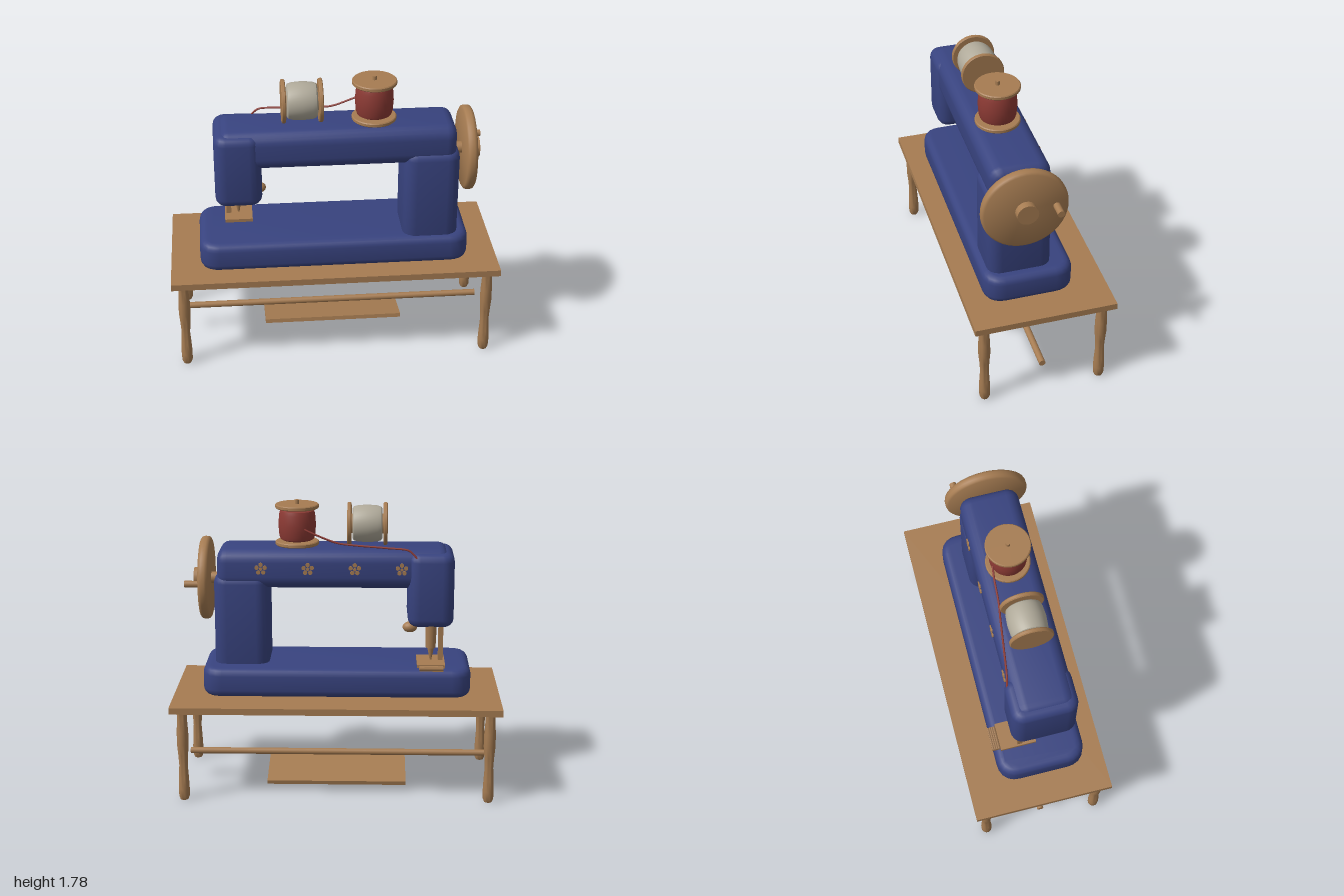
import * as THREE from 'three';
import { toCreasedNormals } from 'three/addons/utils/BufferGeometryUtils.js';

const paint = (name, color) => {
  const m = new THREE.MeshStandardMaterial({ color });
  m.name = name;
  return m;
};

export function createModel() {
  const wood = paint('wood', 0xa67c52);
  const blue = paint('blue enamel', 0x38437f);
  const red = paint('red thread', 0x8c3a34);
  const white = paint('white thread', 0xb0aa9a);
  const model = new THREE.Group();

  const add = (name, geometry, material, x = 0, y = 0, z = 0, parent = model) => {
    const mesh = new THREE.Mesh(geometry, material);
    mesh.name = name;
    mesh.position.set(x, y, z);
    parent.add(mesh);
    return mesh;
  };
  const group = (name, x = 0, y = 0, z = 0) => {
    const g = new THREE.Group();
    g.name = name;
    g.position.set(x, y, z);
    model.add(g);
    return g;
  };
  const box = (w, h, d) => new THREE.BoxGeometry(w, h, d);
  const rod = (r, h, r2 = r, n = 24) => new THREE.CylinderGeometry(r, r2, h, n);
  const lathe = (pts, n = 32) =>
    toCreasedNormals(new THREE.LatheGeometry(pts.map(p => new THREE.Vector2(...p)), n), 0.7);

  // Centred block with rounded outline in XZ and rounded top and bottom edges
  const softBlock = (w, h, d, r, b) => {
    const x = w / 2 - b, z = d / 2 - b, c = Math.max(r - b, 0.005);
    const s = new THREE.Shape();
    s.moveTo(-x + c, -z);
    s.lineTo(x - c, -z);
    s.quadraticCurveTo(x, -z, x, -z + c);
    s.lineTo(x, z - c);
    s.quadraticCurveTo(x, z, x - c, z);
    s.lineTo(-x + c, z);
    s.quadraticCurveTo(-x, z, -x, z - c);
    s.lineTo(-x, -z + c);
    s.quadraticCurveTo(-x, -z, -x + c, -z);
    const g = new THREE.ExtrudeGeometry(s, {
      depth: h - 2 * b, bevelSize: b, bevelThickness: b, bevelSegments: 4, curveSegments: 5,
    });
    g.translate(0, 0, b - h / 2).rotateX(-Math.PI / 2);
    return toCreasedNormals(g, 0.7);
  };

  // Table with turned legs, foot rail and tilted treadle
  add('tableTop', box(2, 0.04, 0.86), wood, 0, 0.59, 0);
  const legShape = lathe([[0, 0], [0.024, 0], [0.032, 0.02], [0.034, 0.07], [0.031, 0.14],
    [0.026, 0.22], [0.03, 0.29], [0.036, 0.36], [0.035, 0.44], [0.03, 0.52], [0.032, 0.575]], 20);
  for (const x of [-0.93, 0.93])
    for (const z of [-0.36, 0.36]) add('tableLeg', legShape, wood, x, 0, z);
  add('footRail', rod(0.02, 1.86), wood, 0, 0.18, 0).rotation.z = Math.PI / 2;
  add('treadle', box(0.86, 0.025, 0.355), wood, 0, 0.087, -0.035).rotation.x = -0.2;

  // Machine body
  add('machineBase', softBlock(1.64, 0.18, 0.54, 0.12, 0.045), blue, 0, 0.70, 0.04);
  add('pillar', softBlock(0.335, 0.6, 0.38, 0.08, 0.05), blue, 0.585, 1.04, 0.084);
  const armShape = softBlock(0.24, 1.41, 0.36, 0.08, 0.06).rotateZ(Math.PI / 2);
  add('arm', armShape, blue, 0.025, 1.38, 0.078);
  add('head', softBlock(0.28, 0.455, 0.395, 0.075, 0.05), blue, -0.572, 1.255, 0.07);

  // Hand wheel, its local y runs along the shaft
  const wheel = group('handWheel', 0.78, 1.29, 0.088);
  wheel.rotation.z = -Math.PI / 2;
  add('wheelDisc', lathe([[0, 0], [0.24, 0], [0.252, 0.008], [0.256, 0.02], [0.256, 0.04],
    [0.252, 0.052], [0.24, 0.06], [0, 0.06]], 48), wood, 0, 0, 0, wheel);
  add('wheelHub', rod(0.063, 0.05), wood, 0, 0.08, 0, wheel);
  add('wheelShaft', rod(0.035, 0.1), wood, 0, -0.03, 0, wheel);
  add('wheelHandle', rod(0.021, 0.095), wood, 0, 0.098, -0.18, wheel);

  // Presser foot, needle and feed ridges under the head
  add('footPlate', box(0.17, 0.02, 0.22), wood, -0.575, 0.807, -0.08);
  add('presserBar', box(0.03, 0.24, 0.03), wood, -0.635, 0.93, -0.07);
  add('needleHolder', rod(0.036, 0.16, 0.03), wood, -0.575, 0.975, -0.07);
  add('needle', rod(0.022, 0.1, 0.002, 16), wood, -0.575, 0.85, -0.07);
  const feed = group('feedRidges', -0.575, 0.793, -0.19);
  add('feedPlate', box(0.145, 0.012, 0.06), wood, 0, 0.004, -0.02, feed);
  for (let i = 0; i < 4; i++) {
    const ridge = add('feedRidge', rod(0.011, 0.145, 0.011, 3), wood, 0, 0.013, -0.009 - i * 0.012, feed);
    ridge.rotation.z = Math.PI / 2;
  }
  const knob = add('tensionKnob', new THREE.SphereGeometry(0.045, 24, 16), wood, -0.447, 1.01, -0.02);
  knob.scale.set(1, 0.74, 0.8);

  // Spools, each built upright from its lower flange
  const spool = (name, thread, x, y, z, height, radius) => {
    const g = group(name, x, y, z);
    const e = 0.025, r = radius, t = 0.115;
    const flange = lathe([[0, 0], [r - 0.005, 0], [r, 0.005], [r, e - 0.005], [r - 0.005, e], [0, e]], 40);
    add('lowerFlange', flange, wood, 0, 0, 0, g);
    add('upperFlange', flange, wood, 0, height - e, 0, g);
    add('spoolCore', rod(0.06, height - e), wood, 0, height / 2, 0, g);
    const lo = e + 0.006, hi = height - e - 0.006;
    add('woundThread', lathe([[0, lo], [0.09, lo], [0.103, lo + 0.008], [0.11, lo + 0.03],
      [t, (lo + hi) / 2], [0.11, hi - 0.03], [0.103, hi - 0.008], [0.09, hi], [0, hi]], 40),
      thread, 0, 0, 0, g);
    return g;
  };
  const redSpool = spool('redSpool', red, 0.247, 1.503, 0.083, 0.252, 0.133);
  add('spoolPin', rod(0.013, 0.05), wood, 0, 0.252, 0, redSpool);
  spool('whiteSpool', white, -0.06, 1.635, 0.083, 0.245, 0.13).rotation.z = Math.PI / 2;

  // Loose thread led from the red spool to the head
  const path = new THREE.CatmullRomCurve3([[0.2, 1.615, -0.02], [0.13, 1.585, -0.028], [0, 1.537, -0.035],
    [-0.1, 1.527, -0.05], [-0.3, 1.517, -0.078], [-0.43, 1.507, -0.097], [-0.46, 1.485, -0.103],
    [-0.49, 1.45, -0.11]].map(p => new THREE.Vector3(...p)), false, 'centripetal');
  add('leadThread', new THREE.TubeGeometry(path, 60, 0.006, 8), red);

  // Small flowers along the back of the arm
  const petal = rod(0.013, 0.009, 0.013, 14).rotateX(Math.PI / 2);
  for (let i = 0; i < 4; i++) {
    const flower = group('flower', 0.46 - i * 0.284, 1.39, -0.105);
    for (let k = 0; k < 5; k++) {
      const a = Math.PI / 2 + k * Math.PI * 0.4;
      add('petal', petal, wood, 0.026 * Math.cos(a), 0.026 * Math.sin(a), 0, flower);
    }
    add('flowerCentre', petal, wood, 0, 0, -0.002, flower).scale.setScalar(0.75);
  }
  return model;
}
